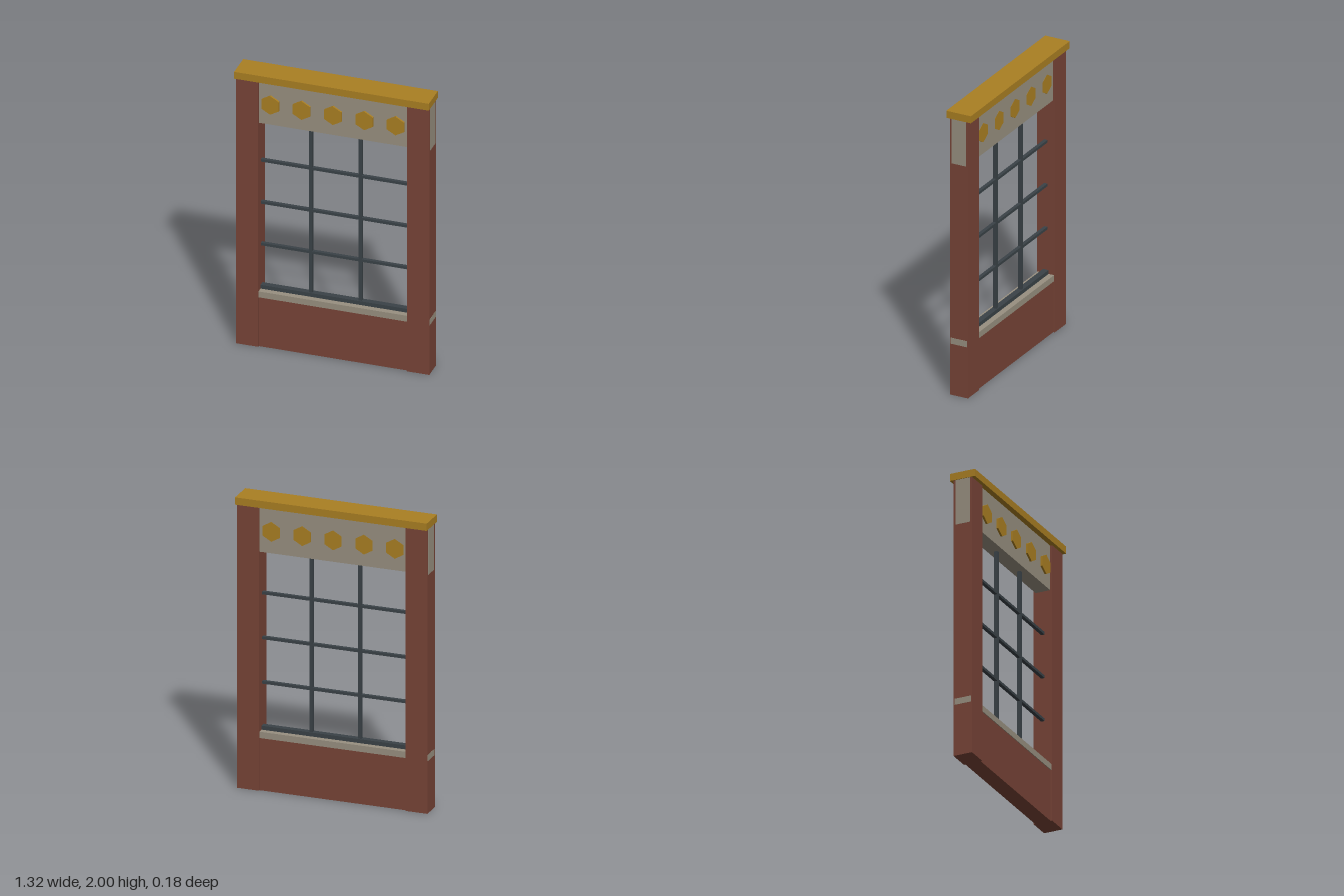
import * as THREE from 'three';

const mat = (name, color) => {
  const m = new THREE.MeshStandardMaterial({ color });
  m.name = name;
  return m;
};

export function createModel() {
  const brick = mat('brick red', 0x784437);
  const stone = mat('grey stone', 0x989080);
  const steel = mat('dark steel', 0x3a4247);
  const gold = mat('ochre gold', 0xaa7f22);
  const group = new THREE.Group();

  const add = (name, geometry, material, x, y, z = 0) => {
    const mesh = new THREE.Mesh(geometry, material);
    mesh.name = name;
    mesh.position.set(x, y, z);
    group.add(mesh);
    return mesh;
  };
  // Box given by its width, bottom, top and depth
  const box = (name, material, x, w, y0, y1, d) =>
    add(name, new THREE.BoxGeometry(w, y1 - y0, d), material, x, (y0 + y1) / 2);

  // Brick piers and the low wall between them
  for (const s of [-1, 1]) box(s > 0 ? 'leftPier' : 'rightPier', brick, s * 0.58, 0.15, 0, 1.95, 0.132);
  box('lowerWall', brick, 0, 1.01, 0, 0.36, 0.11);

  // Stone sill and lintel run through the piers and show at their ends
  box('sill', stone, 0, 1.312, 0.36, 0.403, 0.12);
  box('lintel', stone, 0, 1.312, 1.635, 1.95, 0.104);
  box('coping', gold, 0, 1.32, 1.95, 2, 0.18);

  // Window grid
  box('bottomRail', steel, 0, 1.01, 0.403, 0.43, 0.04);
  for (const x of [-0.168, 0.168]) box('mullion', steel, x, 0.022, 0.43, 1.635, 0.024);
  for (const y of [0.725, 1.03, 1.338]) box('glazingBar', steel, 0, 1.01, y - 0.009, y + 0.009, 0.024);

  // Hexagonal studs: raised in front, nearly flush behind
  const hexagon = new THREE.CylinderGeometry(0.068, 0.068, 0.118, 6).toNonIndexed();
  hexagon.rotateX(Math.PI / 2);
  hexagon.computeVertexNormals();
  for (let i = -2; i <= 2; i++) add('hexagonStud', hexagon, gold, i * 0.2125, 1.782, 0.006);

  return group;
}
